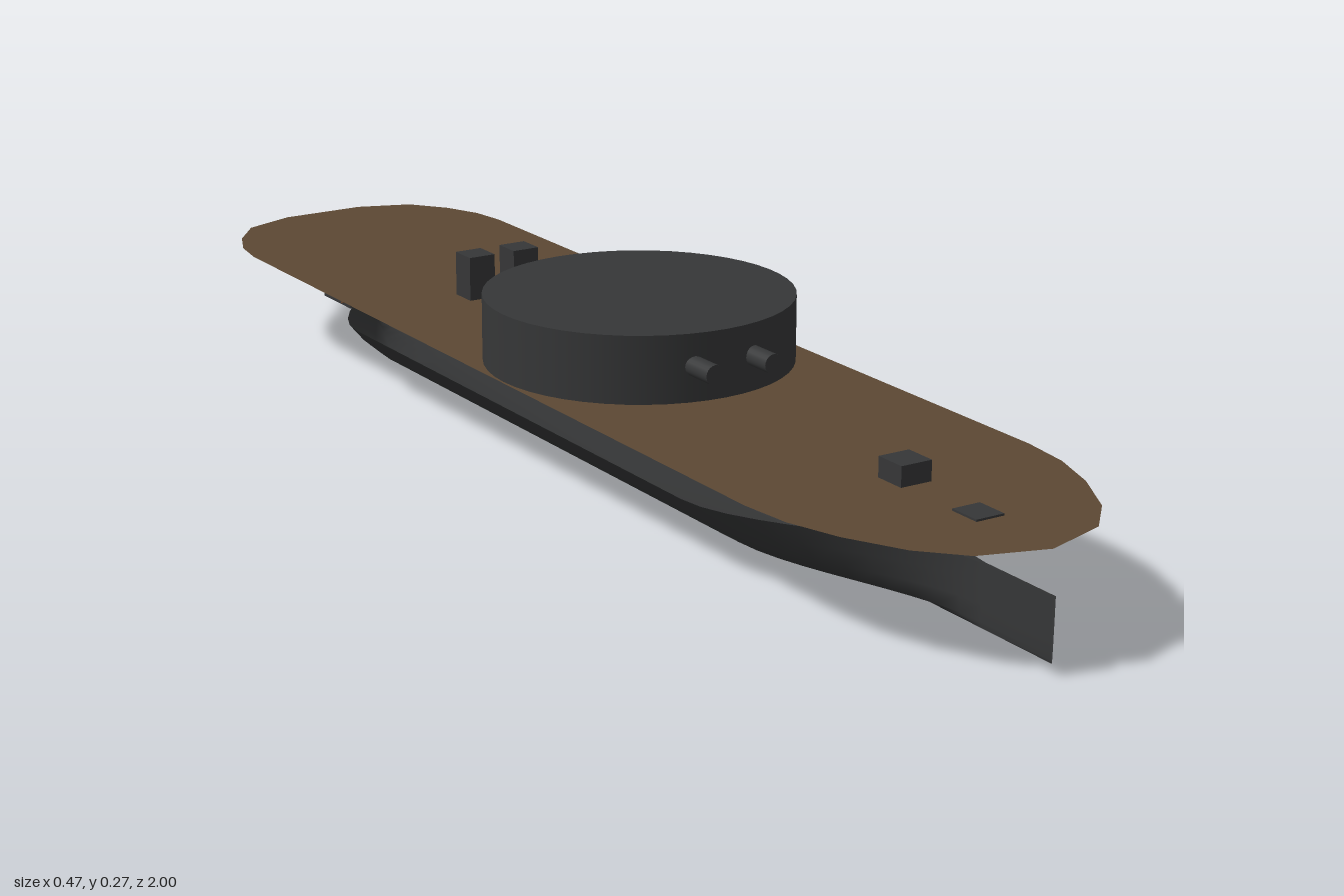
import * as THREE from 'three';

const steel = new THREE.MeshStandardMaterial({ color: 0x363738, side: THREE.DoubleSide });
steel.name = 'dark steel';
const wood = new THREE.MeshStandardMaterial({ color: 0x5c4833, side: THREE.DoubleSide });
wood.name = 'deck brown';
const bronze = new THREE.MeshStandardMaterial({ color: 0x6b4a33 });
bronze.name = 'propeller bronze';

const DECK = 0.17;

export function createModel() {
  const model = new THREE.Group();
  const add = (name, geometry, material, x = 0, y = 0, z = 0) => {
    const mesh = new THREE.Mesh(geometry, material);
    mesh.name = name;
    mesh.position.set(x, y, z);
    model.add(mesh);
    return mesh;
  };
  const box = (name, w, h, d, x, y, z) => add(name, new THREE.BoxGeometry(w, h, d), steel, x, y, z);

  add('hull', hullGeometry(), steel);

  // Flat deck: shape drawn with y as -z, then laid down
  const half = [[0, 0.995], [0.1, 0.963], [0.155, 0.905], [0.2, 0.82], [0.226, 0.74], [0.235, 0.66],
    [0.235, -0.79], [0.226, -0.85], [0.2, -0.91], [0.155, -0.968], [0.07, -1]];
  const outline = [...half, ...half.slice(1).reverse().map(([x, z]) => [-x, z])];
  const deckShape = new THREE.Shape(outline.map(([x, z]) => new THREE.Vector2(x, -z)).reverse());
  add('deck', new THREE.ShapeGeometry(deckShape).rotateX(-Math.PI / 2), wood, 0, DECK - 0.001, 0);

  // Round house with two short tubes facing the bow
  add('turret', new THREE.CylinderGeometry(0.233, 0.233, 0.102, 48), steel, 0, DECK + 0.051, 0.037);
  for (const side of [-1, 1]) {
    const tube = new THREE.CylinderGeometry(0.015, 0.015, 0.09, 20).rotateX(Math.PI / 2);
    add('gunTube', tube, steel, side * 0.05, 0.223, 0.27);
    box('sternPost', 0.045, 0.07, 0.045, side * 0.04, DECK + 0.035, -0.385);
  }

  // Small deck fittings near the bow
  box('bowBox', 0.05, 0.03, 0.05, 0, DECK + 0.015, 0.69);
  box('bowHatch', 0.045, 0.003, 0.05, 0, DECK + 0.0015, 0.845);

  // Rudder panel continuing the stern blade
  box('rudder', 0.005, 0.09, 0.1, 0, 0.062, -0.95);

  // Four pitched propeller blades around a hub
  const propeller = new THREE.Group();
  propeller.name = 'propeller';
  propeller.position.set(0, 0.061, -0.81);
  for (let i = 0; i < 4; i++) {
    const geometry = new THREE.BoxGeometry(0.003, 0.061, 0.022).rotateY(0.45).translate(0, 0.0305, 0);
    const blade = new THREE.Mesh(geometry, bronze);
    blade.name = 'propellerBlade';
    blade.rotation.z = i * Math.PI / 2;
    propeller.add(blade);
  }
  const hub = new THREE.Mesh(new THREE.CylinderGeometry(0.008, 0.008, 0.024, 12).rotateX(Math.PI / 2), bronze);
  hub.name = 'propellerHub';
  propeller.add(hub);
  model.add(propeller);
  return model;
}

// Open hull: one cross-section narrowed to a thin upright blade at both ends
function hullGeometry() {
  const section = [[-1, 0.107], [-0.87, 0.078], [-0.7, 0.05], [-0.51, 0.026], [0, 0.021],
    [0, 0.017], [0.36, 0.017], [0.51, 0.025], [0.7, 0.05], [0.87, 0.078], [1, 0.107]];
  const stations = [-0.9];
  for (let i = 0; i <= 10; i++) stations.push(-0.85 + 0.035 * i);
  for (let i = 0; i <= 10; i++) stations.push(0.45 + 0.041 * i);
  stations.push(1);

  const positions = [];
  const index = [];
  const cols = section.length;
  stations.forEach((z, row) => {
    const taper = z > 0
      ? 1 - THREE.MathUtils.smoothstep(z, 0.45, 0.86)
      : THREE.MathUtils.smoothstep(z, -0.85, -0.5);
    const width = 0.0025 + 0.1925 * taper;
    for (const [u, y] of section) positions.push(u * width, y, z);
    if (row === 0) return;
    for (let j = 0; j < cols - 1; j++) {
      const c = row * cols + j;
      const a = c - cols;
      index.push(a, a + 1, c, a + 1, c + 1, c);
    }
  });
  const geometry = new THREE.BufferGeometry();
  geometry.setAttribute('position', new THREE.Float32BufferAttribute(positions, 3));
  geometry.setIndex(index);
  geometry.computeVertexNormals();
  return geometry;
}
